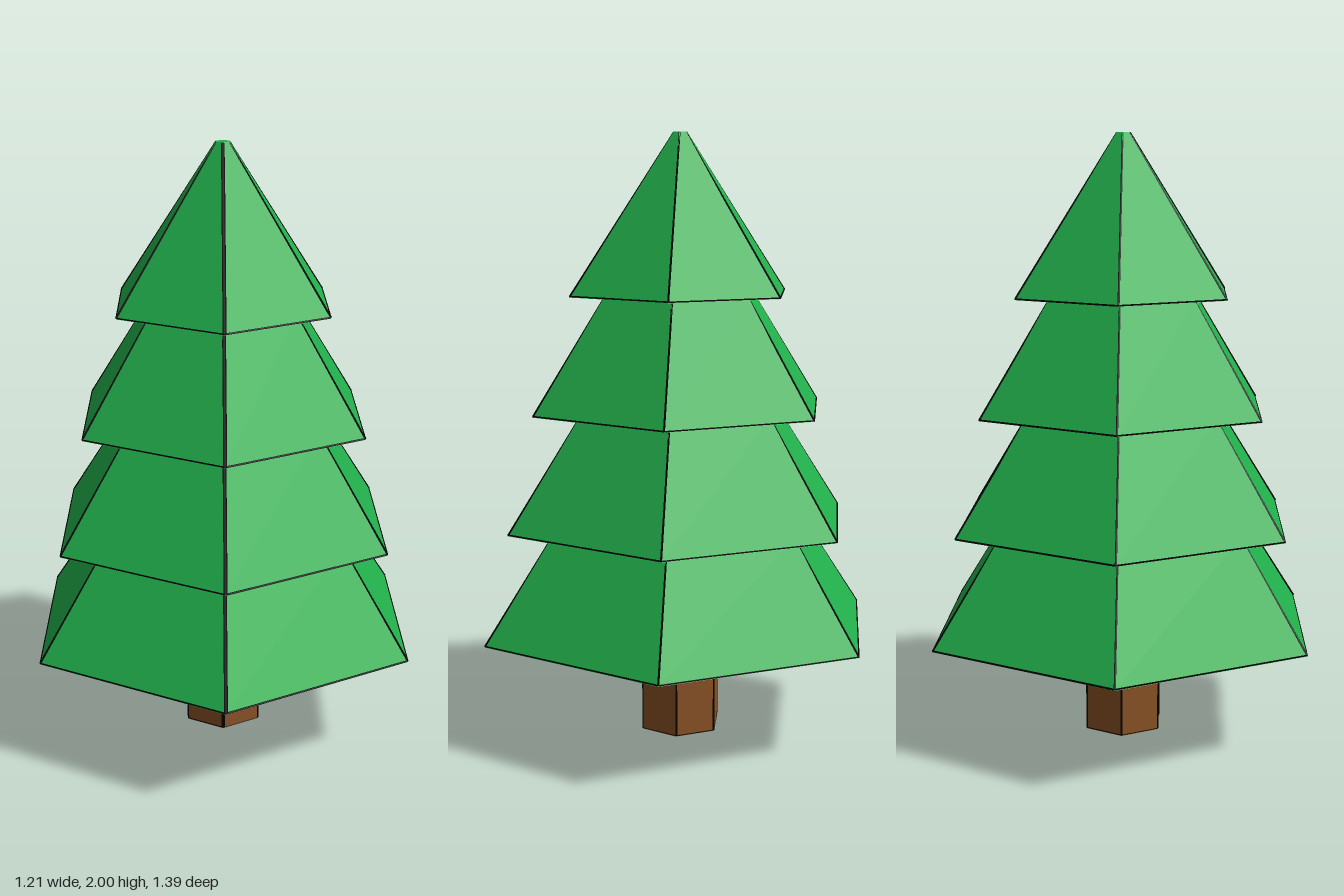
import * as THREE from 'three';

const SIDES = 6;
const material = (name, color) => {
  const m = new THREE.MeshStandardMaterial({ color });
  m.name = name;
  return m;
};

export function createModel() {
  const green = material('leafGreen', 0x22b14c);
  const brown = material('barkBrown', 0x8a5226);
  const black = material('outlineBlack', 0x000000);
  const tree = new THREE.Group();
  tree.name = 'tree';

  // Point on a hexagonal ring with corners on the z axis
  const corner = (i, r, y) => {
    const a = (i / SIDES) * Math.PI * 2;
    return new THREE.Vector3(Math.sin(a) * r, y, Math.cos(a) * r);
  };

  // Thin dark rod along an edge
  const addEdge = (group, a, b, radius) => {
    const dir = b.clone().sub(a);
    const rod = new THREE.Mesh(new THREE.CylinderGeometry(radius, radius, dir.length(), 4), black);
    rod.name = 'edgeLine';
    rod.position.copy(a).add(b).multiplyScalar(0.5);
    rod.quaternion.setFromUnitVectors(new THREE.Vector3(0, 1, 0), dir.normalize());
    group.add(rod);
  };

  // Hexagonal frustum with outlined slopes and lower rim
  const addFrustum = (name, mat, y0, y1, r0, r1) => {
    const part = new THREE.Group();
    part.name = name;
    const geometry = new THREE.CylinderGeometry(r1, r0, y1 - y0, SIDES).toNonIndexed();
    geometry.computeVertexNormals();
    const body = new THREE.Mesh(geometry, mat);
    body.name = name + 'Body';
    body.position.y = (y0 + y1) / 2;
    part.add(body);
    const inset = 0.002;
    for (let i = 0; i < SIDES; i++) {
      const low = corner(i, r0 - inset, y0 + 0.003);
      addEdge(part, low, corner(i, r1 - inset, y1 - 0.003), i === 0 ? 0.006 : 0.004);
      addEdge(part, low, corner(i + 1, r0 - inset, y0 + 0.003), 0.003);
    }
    tree.add(part);
  };

  addFrustum('trunk', brown, 0, 0.355, 0.14, 0.14);

  // Four stacked foliage tiers: bottom y, top y, bottom radius, top radius
  [
    [0.355, 0.715, 0.695, 0.45],
    [0.715, 1.095, 0.61, 0.355],
    [1.095, 1.475, 0.52, 0.27],
    [1.475, 2.0, 0.39, 0.025],
  ].forEach((tier, i) => addFrustum('foliageTier' + (i + 1), green, ...tier));

  return tree;
}
